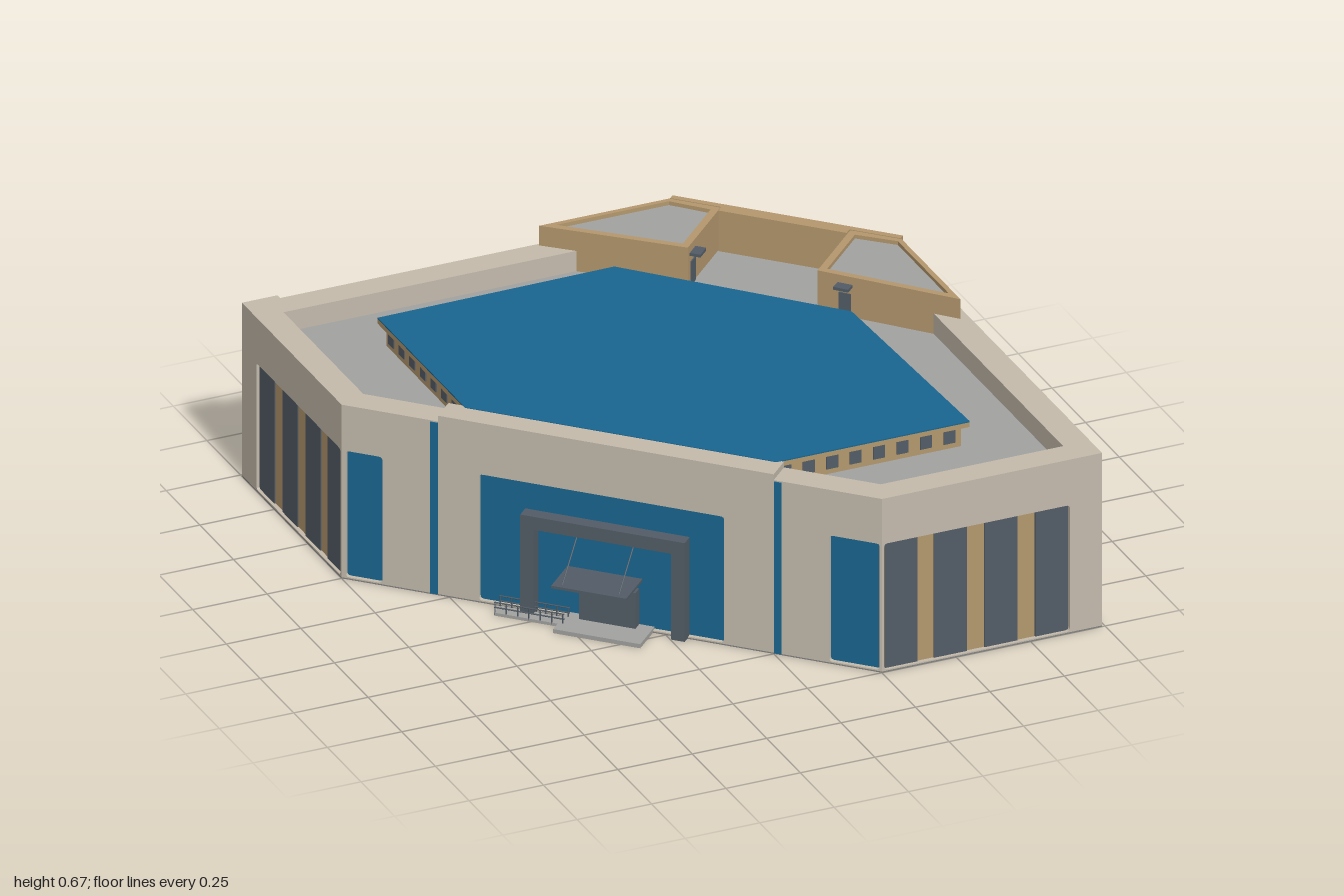
import * as THREE from 'three';

const mat = (name, color) => {
  const m = new THREE.MeshStandardMaterial({ color });
  m.name = name;
  return m;
};

export function createModel() {
  const stone = mat('stone', 0xc3baab);
  const tan = mat('tan cladding', 0xb3976d);
  const slate = mat('slate glass', 0x525c66);
  const blue = mat('blue glass', 0x196590);
  const grey = mat('roof grey', 0xa1a19f);
  const base = mat('base grey', 0x828282);
  const door = mat('pale door', 0xa6aaac);
  const model = new THREE.Group();
  model.name = 'building';

  const add = (parent, name, geo, m) => {
    const mesh = new THREE.Mesh(geo, m);
    mesh.name = name;
    parent.add(mesh);
    return mesh;
  };
  // Box given by its limits
  const box = (parent, name, m, x0, x1, y0, y1, z0, z1) =>
    add(parent, name, new THREE.BoxGeometry(x1 - x0, y1 - y0, z1 - z0), m)
      .position.set((x0 + x1) / 2, (y0 + y1) / 2, (z0 + z1) / 2);

  // Group whose x runs from a to b and whose z points out of the building
  const face = (name, a, b) => {
    const g = new THREE.Group();
    const dx = b[0] - a[0], dz = b[1] - a[1];
    g.name = name;
    g.position.set((a[0] + b[0]) / 2, 0, (a[1] + b[1]) / 2);
    g.rotation.y = Math.atan2(-dz, dx);
    g.userData.half = Math.hypot(dx, dz) / 2;
    model.add(g);
    return g;
  };
  const scaled = (pts, k) => {
    const cx = pts.reduce((s, p) => s + p[0], 0) / pts.length;
    const cz = pts.reduce((s, p) => s + p[1], 0) / pts.length;
    return pts.map(([x, z]) => [cx + (x - cx) * k, cz + (z - cz) * k]);
  };
  // Horizontal polygon slab from y0 to y1
  const slab = (name, m, pts, y0, y1, hole) => {
    const v = (q) => q.map(([x, z]) => new THREE.Vector2(x, -z));
    const s = new THREE.Shape(v(pts));
    if (hole) s.holes.push(new THREE.Path(v(hole)));
    const geo = new THREE.ExtrudeGeometry(s, { depth: y1 - y0, bevelEnabled: false });
    geo.rotateX(-Math.PI / 2).translate(0, y0, 0);
    add(model, name, geo, m);
  };
  // Stone wall with one round-cornered recess, backed by a panel
  const T = 0.09, REC = 0.014, H = 0.6, G = 0.004, Y0 = 0.008, Y1 = 0.443;
  const wall = (g, x0, x1, top, h0, h1, backing) => {
    const s = new THREE.Shape();
    s.moveTo(x0, G); s.lineTo(x1, G); s.lineTo(x1, top); s.lineTo(x0, top); s.closePath();
    const p = new THREE.Path(), r = 0.012;
    p.moveTo(h0 + r, Y0); p.lineTo(h1 - r, Y0); p.quadraticCurveTo(h1, Y0, h1, Y0 + r);
    p.lineTo(h1, Y1 - r); p.quadraticCurveTo(h1, Y1, h1 - r, Y1);
    p.lineTo(h0 + r, Y1); p.quadraticCurveTo(h0, Y1, h0, Y1 - r);
    p.lineTo(h0, Y0 + r); p.quadraticCurveTo(h0, Y0, h0 + r, Y0);
    s.holes.push(p);
    const geo = new THREE.ExtrudeGeometry(s, { depth: T, bevelEnabled: false, curveSegments: 4 });
    add(g, 'stoneWall', geo.translate(0, 0, -T), stone);
    box(g, 'recessPanel', backing, h0, h1, Y0 - 0.002, Y1 + 0.004, -REC - 0.02, -REC);
  };
  const plate = (g, name, m, cx, w, y0, y1, z = -REC) =>
    box(g, name, m, cx - w / 2, cx + w / 2, y0, y1, z - 0.001, z + 0.004);

  // Footprint corners, counterclockwise from above
  const P = [[0.25, 1], [0.99, 1], [0.99, -0.44], [0.44, -0.97], [-1, -0.97], [-1, -0.25]];
  slab('baseSlab', base, [P[0], P[1], P[2], [0.44, -0.99], [-1, -0.99], P[5]], 0, G);
  slab('flatRoof', grey, [[0.26, 0.95], [0.95, 0.95], [0.95, -0.43], [0.43, -0.95], [-0.95, -0.95], [-0.95, -0.26]], 0.5, 0.53);

  // Short end walls with wide glass bays
  [['frontWall', P[0], P[1], 1], ['leftWall', [-1, -0.99], P[5], -1]].forEach(([n, a, b, s]) => {
    const g = face(n, a, b), h = g.userData.half;
    wall(g, -h, h, H, s > 0 ? -0.362 : -0.262, s > 0 ? 0.262 : 0.362, tan);
    [-0.3, -0.135, 0.035, 0.205].forEach((u) => plate(g, 'glassBay', slate, s * u, 0.11, Y0, Y1));
  });

  // Long side walls with narrow window strips and side doors
  [['rightWall', P[1], P[2], 1, [0.283, 0.458], 0.01], ['backWall', P[3], P[4], -1, [0.5], 0.03]].forEach(([n, a, b, s, doors, out]) => {
    const g = face(n, a, b), h = g.userData.half;
    wall(g, -h, h, H, -0.585, 0.585, tan);
    for (let i = 0; i < 8; i++) plate(g, 'windowStrip', slate, s * (-0.437 + 0.085 * i), 0.043, Y0, Y1);
    doors.forEach((u) => {
      plate(g, 'windowStrip', slate, s * u, 0.038, 0.14, Y1);
      plate(g, 'sideDoor', door, s * u, 0.045, Y0, 0.14);
      box(g, 'doorStep', slate, s * u - 0.035, s * u + 0.035, 0, 0.008, -REC, 0.006);
    });
    const u = s * doors[doors.length - 1];
    box(g, 'doorCanopy', slate, u - 0.033, u + 0.033, 0.162, 0.169, -REC, out);
  });
  box(model, 'cornerPier', stone, -1, -0.88, G, H, -0.99, -0.95);
  box(model, 'cornerPier', stone, 0.33, 0.44, G, H, -0.99, -0.95);

  // Diagonal entrance front
  const d = face('entranceWall', P[5], P[0]), dh = d.userData.half;
  wall(d, -0.568, 0.53, 0.62, -0.434, 0.368, blue);
  wall(d, 0.53, dh, H, 0.712, dh - 0.006, blue);
  wall(d, -dh, -0.568, H, -dh + 0.014, -0.75, blue);
  [-0.581, 0.544].forEach((u) => plate(d, 'glassGroove', blue, u, 0.024, G, H - 0.004, 0));
  // Portal frame
  box(d, 'portalJamb', slate, -0.288, -0.245, G, 0.345, -REC, 0.03);
  box(d, 'portalJamb', slate, 0.205, 0.25, G, 0.345, -REC, 0.03);
  box(d, 'portalLintel', slate, -0.245, 0.205, 0.3, 0.345, -REC, 0.03);
  box(d, 'vestibule', slate, -0.1, 0.085, 0.012, 0.137, -REC, 0.02);
  box(d, 'entranceCanopy', slate, -0.15, 0.095, 0.163, 0.172, -REC, 0.127);
  const rod = (g, a, b) => add(g, 'rod', new THREE.TubeGeometry(
    new THREE.LineCurve3(new THREE.Vector3(...a), new THREE.Vector3(...b)), 1, 0.0022, 6), slate);
  [-0.12, 0.065].forEach((u) => rod(d, [u, 0.172, 0.11], [u, 0.275, -REC]));
  box(d, 'entrancePlatform', grey, -0.15, 0.135, 0, 0.014, -REC, 0.11);
  box(d, 'ramp', grey, -0.36, -0.15, 0, 0.01, 0.015, 0.065);
  [0.017, 0.063].forEach((z) => {
    [0.028, 0.045].forEach((y) => rod(d, [-0.36, y, z], [-0.13, y, z]));
    for (let i = 0; i < 7; i++) rod(d, [-0.358 + i * 0.037, 0.003, z], [-0.358 + i * 0.037, 0.045, z]);
  });

  // Chamfered rear corner with three rows of windows
  const c = face('rearCorner', [0.99, -0.44], [0.44, -0.99]), ch = c.userData.half;
  const cz = -0.014;
  box(c, 'rearFacade', tan, -ch + 0.012, ch - 0.012, G, 0.67, cz - 0.02, cz);
  box(c, 'facadeBacking', tan, -0.21, 0.21, 0.5, 0.67, cz - 0.045, cz - 0.02);
  [-1, 1].forEach((s) => box(c, 'rearPier', stone, s * (ch - 0.03) - 0.03, s * (ch - 0.03) + 0.03, G, H, -T, 0));
  [[0.075, 0.165], [0.205, 0.272], [0.358, 0.44]].forEach(([y0, y1], row) => {
    for (let i = 0; i < 8; i++) {
      if (row === 0 && (i === 3 || i === 4)) continue;
      const u = (i - 3.5) * 0.077;
      plate(c, 'rearWindow', slate, u, 0.042, y0, y1, cz);
      box(c, 'windowSill', slate, u - 0.025, u + 0.025, y0 - 0.005, y0, cz, cz + 0.008);
    }
  });
  plate(c, 'rearDoorSurround', slate, 0, 0.15, 0.01, 0.16, cz);
  plate(c, 'rearDoor', door, 0, 0.12, 0.01, 0.14, cz + 0.003);
  box(c, 'rearCanopy', slate, -0.085, 0.085, 0.168, 0.188, cz, 0.045);
  box(c, 'rearPlatform', grey, -0.105, 0.105, 0, 0.014, cz, 0.09);

  // Two rooftop stair rooms, mirrored about the building diagonal
  const roomA = [[-0.015, -0.96], [0.34, -0.64], [0.54, -0.84], [0.43, -0.96]];
  const roomB = roomA.map(([x, z]) => [-z, -x]).reverse();
  [roomA, roomB].forEach((r) => {
    slab('stairRoomWalls', tan, r, 0.52, 0.668, scaled(r, 0.85));
    slab('stairRoomRoof', grey, scaled(r, 0.9), 0.63, 0.655);
  });
  // Stair room doors with small canopies
  [[[0.34, -0.64], [0.54, -0.84], -0.1], [[0.64, -0.34], [0.96, 0.015], -0.147]].forEach(([a, b, u]) => {
    const g = face('stairRoomDoor', a, b);
    plate(g, 'doorLeaf', slate, u, 0.04, 0.53, 0.61, 0);
    box(g, 'doorCanopy', slate, u - 0.025, u + 0.025, 0.632, 0.642, 0, 0.035);
  });

  // Penthouse with tan fascia, small windows and a thin blue roof
  const Q = [[0.04, 0.68], [0.69, 0.68], [0.66, -0.13], [0.12, -0.7], [-0.68, -0.69], [-0.68, -0.04]];
  const W = scaled(Q, 0.97);
  slab('penthouseWalls', tan, W, 0.52, 0.603);
  slab('penthouseFascia', tan, Q, 0.602, 0.618);
  slab('penthouseRoof', blue, Q, 0.618, 0.622);
  W.forEach((a, i) => {
    const g = face('penthouseSide', a, W[(i + 1) % W.length]);
    const len = g.userData.half * 2, n = Math.round(len / 0.08), step = len / n;
    for (let k = 0; k < n; k++)
      plate(g, 'penthouseWindow', slate, (k - (n - 1) / 2) * step, step * 0.5, 0.548, 0.592, 0);
  });

  return model;
}
